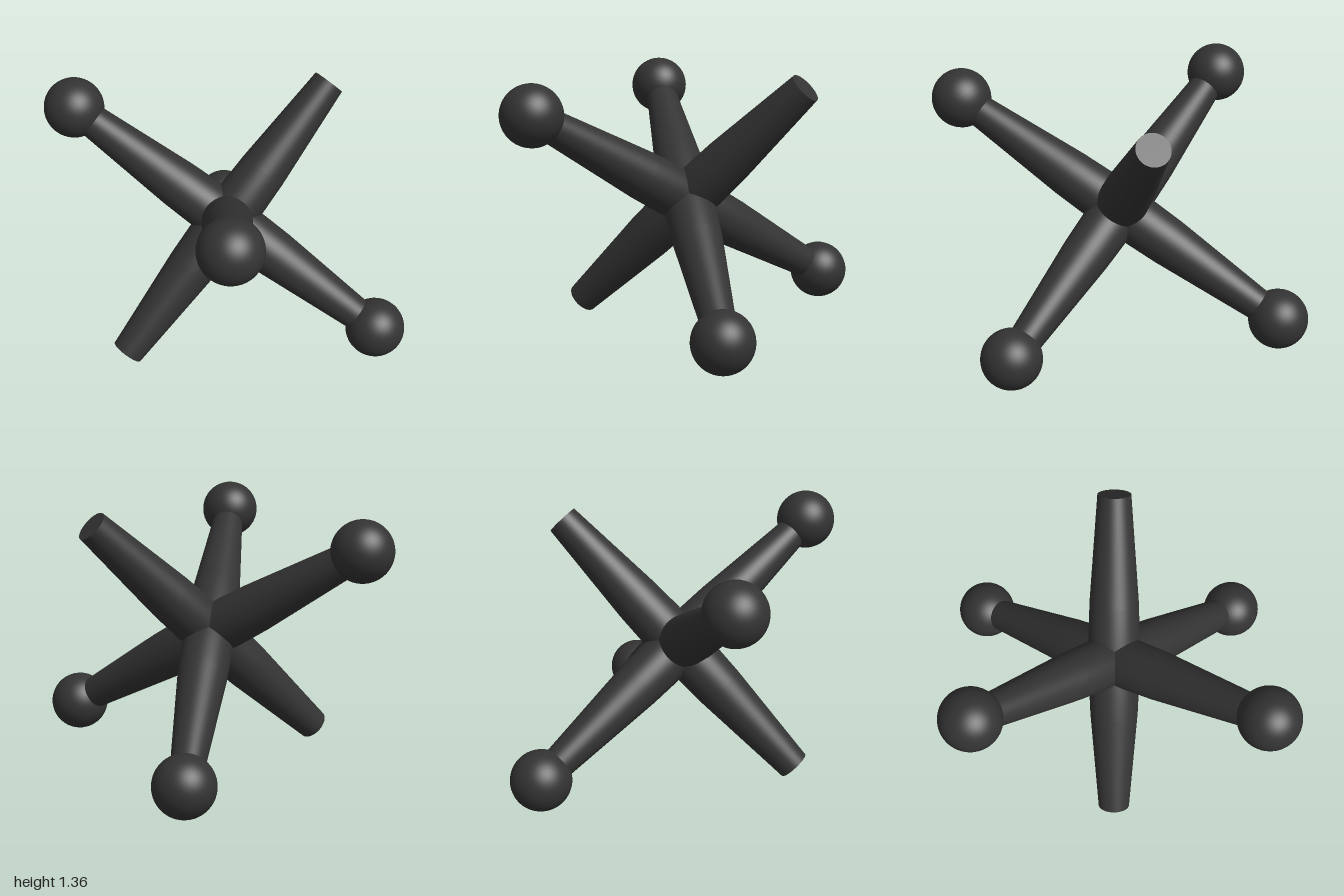
import * as THREE from 'three';

const ARM = 0.895;
const TIP_R = 0.085;
const BALL_R = 0.157;

export function createModel() {
  const model = new THREE.Group();
  model.name = 'jack';
  const material = new THREE.MeshStandardMaterial({ color: 0x333333 });

  // Three mutually perpendicular shafts through the centre
  const ballAxisA = new THREE.Vector3(-0.843, 0.518, 0);
  const ballAxisB = new THREE.Vector3(0.311, 0.507, 0.83);
  const plainAxis = ballAxisA.clone().cross(ballAxisB);

  // Shaft profile: fat waist, straight taper to both tips
  const profile = [
    [TIP_R, -ARM], [0.128, -0.32], [0.134, -0.15], [0.135, 0],
    [0.134, 0.15], [0.128, 0.32], [TIP_R, ARM],
  ].map(([r, y]) => new THREE.Vector2(r, y));
  const shaftGeometry = new THREE.LatheGeometry(profile, 48);
  const capGeometry = new THREE.CircleGeometry(TIP_R, 48);
  const ballGeometry = new THREE.SphereGeometry(BALL_R, 48, 32);

  function addRod(name, axis, hasBalls) {
    const rod = new THREE.Group();
    rod.name = name;
    rod.quaternion.setFromUnitVectors(new THREE.Vector3(0, 1, 0), axis.clone().normalize());

    const shaft = new THREE.Mesh(shaftGeometry, material);
    shaft.name = 'taperedShaft';
    rod.add(shaft);

    for (const side of [-1, 1]) {
      // Round ball or flat disc closing each tip
      const end = new THREE.Mesh(hasBalls ? ballGeometry : capGeometry, material);
      end.name = hasBalls ? 'endBall' : 'endCap';
      end.position.y = side * (hasBalls ? axis.length() : ARM);
      if (!hasBalls) end.rotation.x = -side * Math.PI / 2;
      rod.add(end);
    }
    model.add(rod);
  }

  addRod('sidewaysBallRod', ballAxisA, true);
  addRod('frontBackBallRod', ballAxisB, true);
  addRod('plainRod', plainAxis, false);

  model.position.y = 0.685;
  return model;
}
